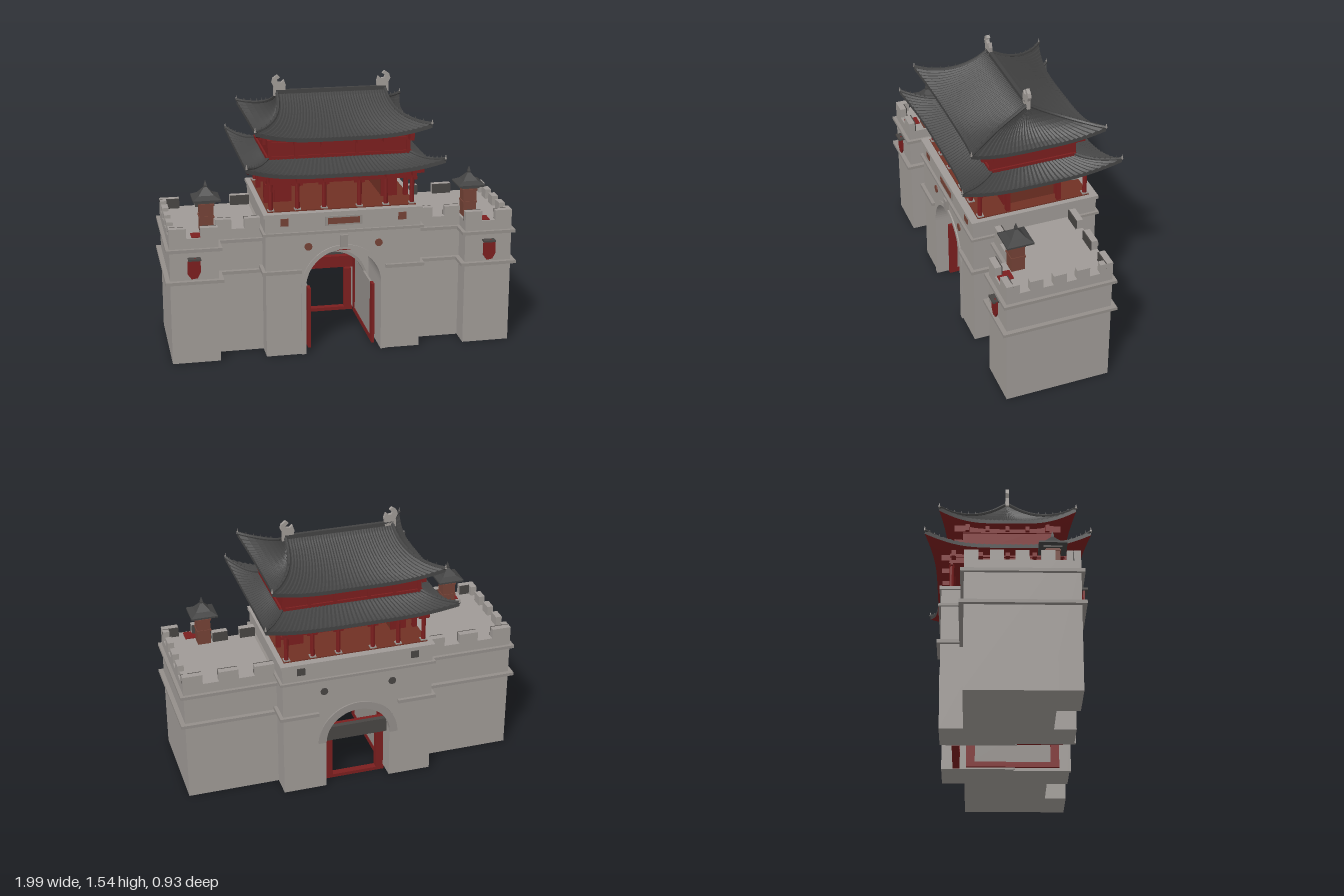
import * as THREE from 'three';

const mat = (name, color, side = THREE.FrontSide) => {
  const m = new THREE.MeshStandardMaterial({ color, flatShading: true, side });
  m.name = name;
  return m;
};

export function createModel() {
  const stone = mat('stone', 0x9f9a96);
  const trim = mat('stone trim', 0x938e8a);
  const tile = mat('roof tile', 0x434343, THREE.DoubleSide);
  const red = mat('red lacquer', 0x7b1e1e, THREE.DoubleSide);
  const brown = mat('brown panel', 0x703024);
  const wood = mat('weathered wood', 0x744236);
  const timber = mat('dark timber', 0x484543);
  const model = new THREE.Group();

  const add = (name, geo, material, parent = model) => {
    const mesh = new THREE.Mesh(geo, material);
    mesh.name = name;
    parent.add(mesh);
    return mesh;
  };
  // Box given by its extents on each axis
  const box = (name, material, x0, x1, y0, y1, z0, z1, parent) => {
    const m = add(name, new THREE.BoxGeometry(Math.abs(x1 - x0), y1 - y0, Math.abs(z1 - z0)), material, parent);
    m.position.set((x0 + x1) / 2, (y0 + y1) / 2, (z0 + z1) / 2);
    return m;
  };
  const extrude = (shape, depth) =>
    new THREE.ExtrudeGeometry(shape, { depth, bevelEnabled: false, curveSegments: 20 });

  // ---- Gatehouse: front half has a taller arch than the rear half
  const archBlock = (r, c) => {
    const s = new THREE.Shape();
    s.moveTo(-0.44, 0).lineTo(-r, 0).lineTo(-r, c);
    s.absarc(0, c, r, Math.PI, 0, true);
    s.lineTo(r, 0).lineTo(0.44, 0).lineTo(0.44, 0.83).lineTo(-0.44, 0.83);
    return s;
  };
  const archMould = (r0, r1, c, foot) => {
    const s = new THREE.Shape();
    s.moveTo(r1, foot).lineTo(r1, c).absarc(0, c, r1, 0, Math.PI, false);
    s.lineTo(-r1, foot).lineTo(-r0, foot).lineTo(-r0, c);
    s.absarc(0, c, r0, Math.PI, 0, true);
    s.lineTo(r0, foot);
    return s;
  };
  add('gatehouseFront', extrude(archBlock(0.215, 0.4), 0.32), stone).position.z = 0.045;
  add('gatehouseRear', extrude(archBlock(0.19, 0.3), 0.41), stone).position.z = -0.365;
  add('frontArchMoulding', extrude(archMould(0.215, 0.24, 0.4, 0), 0.02), stone).position.z = 0.353;
  add('innerArchMoulding', extrude(archMould(0.19, 0.205, 0.3, 0), 0.015), trim).position.z = 0.04;
  add('rearArchMoulding', extrude(archMould(0.19, 0.235, 0.3, 0.3), 0.02), trim).position.z = -0.374;
  box('archCrownStrip', red, -0.07, 0.07, 0.602, 0.612, 0.28, 0.35);
  box('keystone', trim, -0.022, 0.022, 0.63, 0.7, 0.36, 0.383);
  box('upperLedge', trim, -0.455, 0.455, 0.715, 0.73, -0.38, 0.38);
  box('platformCap', stone, -0.45, 0.45, 0.818, 0.838, -0.375, 0.375);
  for (const s of [-1, 1]) {
    box('frontLedge', trim, s * 0.24, s * 0.46, 0.49, 0.51, 0.2, 0.385);
    box('rearLedge', trim, s * 0.235, s * 0.46, 0.49, 0.51, -0.385, -0.2);
    for (const z of [0.366, -0.366]) {
      const disc = add('medallion', new THREE.CylinderGeometry(0.022, 0.022, 0.01, 12), z > 0 ? wood : timber);
      disc.rotation.x = Math.PI / 2;
      disc.position.set(s * 0.2, 0.64, z);
      box('smallPlaque', z > 0 ? wood : timber, s * 0.31, s * 0.355, 0.768, 0.81, z - 0.005, z + 0.005);
    }
  }
  box('namePlaqueFrame', trim, -0.105, 0.105, 0.757, 0.812, 0.36, 0.372);
  box('namePlaqueBoard', wood, -0.09, 0.09, 0.767, 0.802, 0.365, 0.376);

  // ---- Gate frame and open leaves inside the passage
  box('gateSill', red, -0.18, 0.18, 0, 0.02, -0.3, -0.26);
  box('gateLintel', red, -0.185, 0.185, 0.28, 0.35, -0.29, -0.25);
  box('lintelBoard', timber, -0.188, 0.188, 0.275, 0.362, -0.32, -0.291);
  for (const s of [-1, 1]) {
    box('gatePost', red, s * 0.132, s * 0.175, 0, 0.265, -0.3, -0.26);
    box('gateLeaf', trim, s * 0.18, s * 0.192, 0.02, 0.36, -0.22, 0.3);
    for (const z of [-0.225, 0.255]) box('leafStile', red, s * 0.176, s * 0.193, 0.01, 0.37, z, z + 0.05);
    box('leafRail', red, s * 0.176, s * 0.193, 0.01, 0.04, -0.22, 0.3);
  }

  // ---- Wings with corner bastions, mirrored
  // Evenly spaced merlons along an axis; inner is the direction of their dark inner face
  const merlons = (parent, alongX, a, b, at, count, inner) => {
    const pitch = (b - a) / (count - 0.45);
    for (let i = 0; i < count; i++) {
      const p = a + i * pitch, q = p + pitch * 0.55;
      const slab = (name, m, lo, hi) => alongX
        ? box(name, m, p, q, 0.725, 0.787, lo, hi, parent)
        : box(name, m, lo, hi, 0.725, 0.787, p, q, parent);
      slab('merlon', stone, at - 0.018, at + 0.018);
      if (alongX) slab('merlonInnerFace', timber, at + inner * 0.018, at + inner * 0.024);
    }
  };
  const bannerShape = new THREE.Shape();
  bannerShape.moveTo(-0.035, 0.1).lineTo(0.005, 0.12).lineTo(0.035, 0.115).lineTo(0.037, 0.04).lineTo(0.018, 0.005)
    .lineTo(-0.015, 0).lineTo(-0.036, 0.03);
  for (const s of [-1, 1]) {
    const wing = new THREE.Group();
    wing.name = s > 0 ? 'leftWing' : 'rightWing';
    model.add(wing);
    box('curtainWall', stone, s * 0.43, s * 0.97, 0, 0.73, -0.235, 0.245, wing);
    box('bastion', stone, s * 0.7, s * 0.97, 0, 0.73, 0.2, 0.37, wing);
    for (const [y, o] of [[0.472, 0.026], [0.655, 0.02]]) {
      box('ledge', trim, s * 0.43, s * (0.97 + o), y, y + 0.018, -0.235 - o, 0.245 + o, wing);
      box('bastionLedge', trim, s * (0.7 - o), s * (0.97 + o), y, y + 0.018, 0.2, 0.37 + o, wing);
    }
    const span = (a, b) => s > 0 ? [a, b] : [-b, -a];
    merlons(wing, false, -0.235, 0.37, s * 0.952, 5, -s);
    merlons(wing, true, ...span(0.45, 0.97), -0.217, 3, 1);
    merlons(wing, true, ...span(0.7, 0.97), 0.352, 2, -1);
    merlons(wing, true, ...span(0.45, 0.7), 0.227, 2, -1);
    box('turretApron', red, s * 0.77, s * 0.845, 0.726, 0.734, 0.28, 0.36, wing);

    // Lantern turret
    const turret = new THREE.Group();
    turret.name = 'lanternTurret';
    turret.position.set(s * 0.75, 0, 0.235);
    wing.add(turret);
    box('turretBody', wood, -0.038, 0.038, 0.72, 0.91, -0.038, 0.038, turret);
    for (const y of [0.81, 0.88]) box('turretBand', wood, -0.042, 0.042, y, y + 0.01, -0.042, 0.042, turret);
    box('turretCornice', timber, -0.05, 0.05, 0.897, 0.912, -0.05, 0.05, turret);
    const cap = [[0, 0.9], [0.108, 0.912], [0.108, 0.922], [0.06, 0.94], [0.03, 0.965], [0.012, 0.98], [0.012, 0.99], [0, 1.02]];
    add('turretRoof', new THREE.LatheGeometry(cap.map(p => new THREE.Vector2(...p)), 4), tile, turret).rotation.y = Math.PI / 4;

    // Hanging banner with its bracket
    add('banner', extrude(bannerShape, 0.01), red, wing).position.set(s * 0.838, 0.503, 0.383);
    box('bannerBracket', timber, s * 0.8, s * 0.87, 0.612, 0.622, 0.37, 0.41, wing);
  }

  // ---- Pavilion: open colonnade, end rooms and upper storey
  box('pavilionFloor', brown, -0.42, 0.42, 0.835, 0.844, -0.33, 0.33);
  box('ceiling', red, -0.43, 0.43, 1.03, 1.06, -0.32, 0.32);
  box('sideScreen', red, -0.41, -0.35, 0.84, 1.04, 0.135, 0.15);
  for (const s of [-1, 1]) {
    box('endRoom', brown, s * 0.26, s * 0.35, 0.84, 1.04, -0.15, 0.15);
    for (const z of [-0.15, 0.15]) {
      box('endRoomFace', red, s * 0.258, s * 0.352, 0.84, 1.04, z - 0.006, z + 0.006);
      box('sideColumn', red, s * 0.39, s * 0.415, 0.84, 1.04, z - 0.012, z + 0.012);
    }
    box('longBeam', red, -0.42, 0.42, 0.995, 1.04, s * 0.295, s * 0.325);
    box('crossBeam', red, s * 0.385, s * 0.42, 0.995, 1.04, -0.32, 0.32);
    for (const x of [-0.4, -0.25, -0.1, 0.1, 0.25, 0.4]) {
      const col = add('column', new THREE.CylinderGeometry(0.013, 0.013, 0.2, 8), red);
      col.position.set(x, 0.935, s * 0.31);
      box('columnBase', trim, x - 0.018, x + 0.018, 0.835, 0.85, s * 0.292, s * 0.328);
      box('columnBracket', red, x - 0.03, x + 0.03, 0.98, 0.997, s * 0.303, s * 0.317);
      box('eaveBracket', red, x - 0.012, x + 0.012, 1.015, 1.05, s * 0.31, s * 0.37);
      box('upperPost', red, x * 0.98 - 0.01, x * 0.98 + 0.01, 1.09, 1.23, s * 0.23, s * 0.25);
      box('upperEaveBracket', red, x - 0.012, x + 0.012, 1.2, 1.24, s * 0.235, s * 0.3);
    }
    for (const z of [-0.3, -0.15, 0, 0.15, 0.3]) {
      box('sideEaveBracket', red, s * 0.41, s * 0.47, 1.015, 1.05, z - 0.012, z + 0.012);
      box('upperSideBracket', red, s * 0.39, s * 0.43, 1.2, 1.24, z * 0.75 - 0.012, z * 0.75 + 0.012);
    }
  }
  box('upperStorey', red, -0.4, 0.4, 1.06, 1.24, -0.24, 0.24);
  for (const y of [1.115, 1.195]) box('upperRail', red, -0.41, 0.41, y, y + 0.018, -0.25, 0.25);

  // ---- Curved tiled roofs: rings from ridge (t = 0) to eave (t = 1)
  const roofPoint = (r, t, side, u, lift = 0) => {
    const f = u ** 4 * t * t;
    const hx = r.x[0] + (r.x[1] - r.x[0]) * t ** r.bend + r.flare[0] * f;
    const hz = r.z[0] + (r.z[1] - r.z[0]) * t + r.flare[1] * f;
    const y = r.y[1] + (r.y[0] - r.y[1]) * (1 - t) ** 1.25 + r.lift * f + lift;
    const [x, z] = [[u * hx, hz], [hx, -u * hz], [-u * hx, -hz], [-hx, u * hz]][side];
    return new THREE.Vector3(x, y, z);
  };
  const ring = (r, t, lift, rib) => {
    const pts = [];
    for (let side = 0; side < 4; side++) {
      const n = side % 2 ? 56 : 80;
      for (let i = 0; i < n; i++)
        pts.push(roofPoint(r, t, side, 2 * i / n - 1, lift + (i % 2) * rib * Math.min(1, 8 * t)));
    }
    return pts;
  };
  const loft = rings => {
    const pos = [];
    for (let k = 0; k + 1 < rings.length; k++) {
      const a = rings[k], b = rings[k + 1], n = a.length;
      for (let i = 0; i < n; i++) {
        const j = (i + 1) % n;
        for (const p of [b[i], b[j], a[j], b[i], a[j], a[i]]) pos.push(p.x, p.y, p.z);
      }
    }
    const g = new THREE.BufferGeometry();
    g.setAttribute('position', new THREE.Float32BufferAttribute(pos, 3));
    g.computeVertexNormals();
    return g;
  };
  const buildRoof = (name, r) => {
    const roof = new THREE.Group();
    roof.name = name;
    model.add(roof);
    const steps = Array.from({ length: 11 }, (_, i) => ring(r, i / 10, 0, 0.005));
    add('tiles', loft(steps), tile, roof);
    add('eaveEdge', loft([steps[10], ring(r, 1, -0.02, 0)]), tile, roof);
    add('soffit', loft([ring(r, 1, -0.02, 0), ring(r, r.soffit[0], -r.soffit[1], 0)]), red, roof);
    for (let side = 0; side < 4; side++) {
      const hip = t => roofPoint(r, t, side, 1, 0.004);
      const path = new THREE.CatmullRomCurve3([0, 0.2, 0.4, 0.6, 0.8, 0.92, 1].map(hip));
      add('hipRidge', new THREE.TubeGeometry(path, 20, 0.01, 6), tile, roof);
      for (let i = 0; i < 6; i++) {
        const bead = add('hipFigure', new THREE.ConeGeometry(0.007, i === 5 ? 0.03 : 0.022, 5), i === 5 ? trim : tile, roof);
        bead.position.copy(hip(0.5 + i * 0.1)).y += 0.013;
      }
    }
  };
  buildRoof('lowerRoof', { x: [0.4, 0.52], z: [0.24, 0.4], y: [1.12, 1.06], bend: 1, flare: [0.03, 0.06], lift: 0.068, soffit: [0.3, 0.06] });
  buildRoof('upperRoof', { x: [0.31, 0.455], z: [0, 0.34], y: [1.435, 1.25], bend: 2.5, flare: [0.035, 0.045], lift: 0.06, soffit: [0.65, 0.08] });

  // ---- Main ridge and its curled end ornaments
  box('mainRidge', tile, -0.315, 0.315, 1.42, 1.452, -0.01, 0.01);
  const curl = new THREE.Shape();
  curl.moveTo(-0.035, 0).lineTo(0.03, 0).lineTo(0.028, 0.05).lineTo(0.04, 0.075).lineTo(0.033, 0.1)
    .lineTo(0.008, 0.118).lineTo(-0.008, 0.105).lineTo(0.01, 0.09).lineTo(0.004, 0.078).lineTo(-0.014, 0.075)
    .lineTo(-0.03, 0.09).lineTo(-0.04, 0.06);
  for (const s of [-1, 1]) {
    const fin = add('ridgeOrnament', extrude(curl, 0.02), stone);
    fin.position.set(s * 0.3, 1.42, s > 0 ? -0.01 : 0.01);
    fin.rotation.y = s > 0 ? 0 : Math.PI;
  }
  return model;
}
